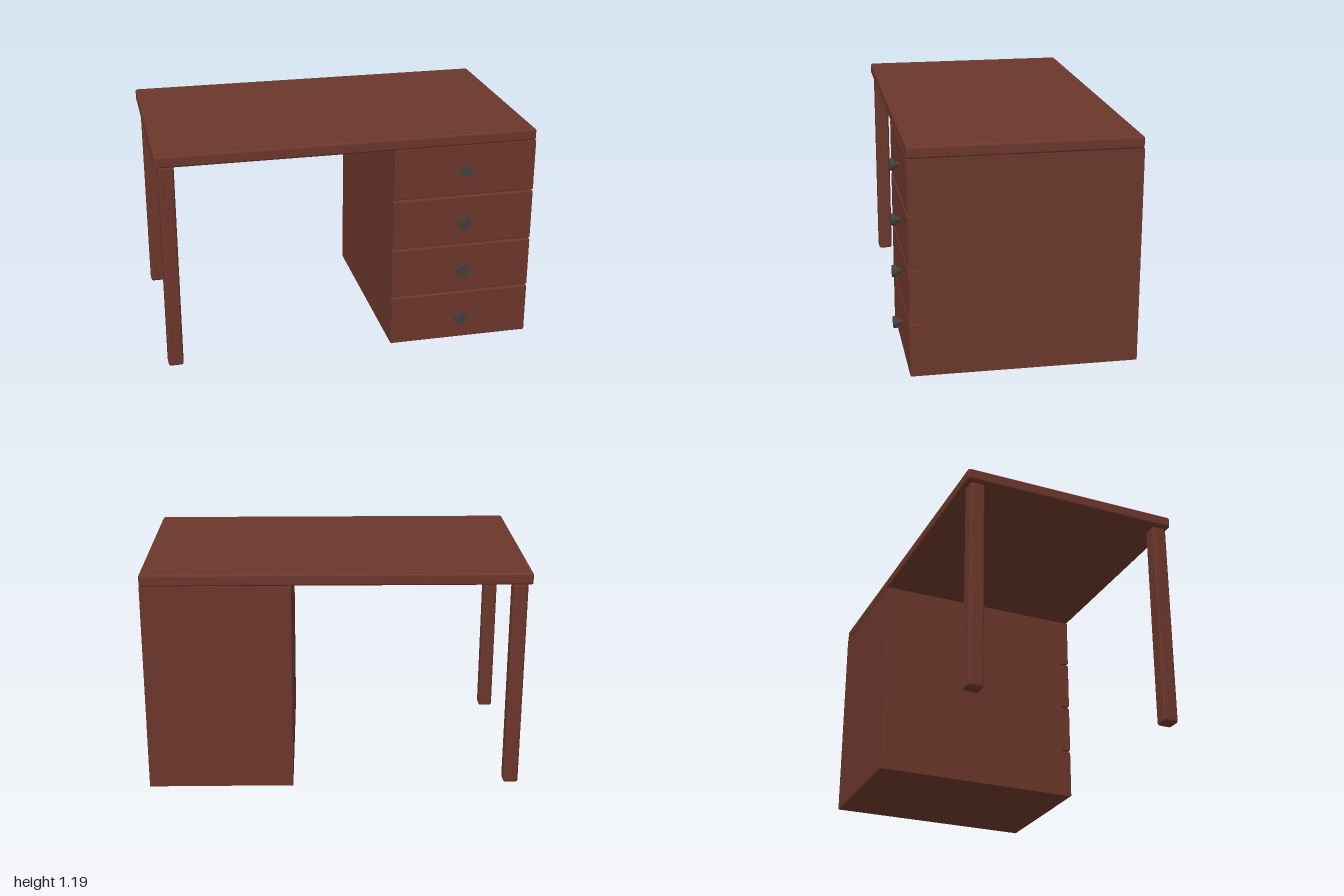
import * as THREE from 'three';
import { RoundedBoxGeometry } from 'three/addons/geometries/RoundedBoxGeometry.js';

const FRONT = 0.56, BACK = -0.605, TOP_Y = 1.125;

export function createModel() {
  const desk = new THREE.Group();
  desk.name = 'desk';
  const wood = new THREE.MeshStandardMaterial({ color: 0x6b372b });
  const metal = new THREE.MeshStandardMaterial({ color: 0x40403d });

  const add = (name, geometry, material, x, y, z, parent = desk) => {
    const mesh = new THREE.Mesh(geometry, material);
    mesh.name = name;
    mesh.position.set(x, y, z);
    parent.add(mesh);
    return mesh;
  };

  // Table top with softened edges
  const depth = FRONT - BACK;
  add('tableTop', new RoundedBoxGeometry(2, 0.062, depth, 3, 0.012), wood,
    0, TOP_Y + 0.031, (FRONT + BACK) / 2);

  // Two legs on the model's right side
  const legGeometry = new RoundedBoxGeometry(0.08, TOP_Y, 0.08, 2, 0.014);
  for (const [name, z] of [['frontLeg', 0.505], ['backLeg', -0.545]]) {
    add(name, legGeometry, wood, -0.94, TOP_Y / 2, z);
  }

  // Drawer cabinet: side profile with grooves between the drawer fronts
  const bottom = 0.004, half = 0.005, lip = 0.004, grooveEnd = 0.508;
  const profile = new THREE.Shape();
  profile.moveTo(BACK, bottom);
  profile.lineTo(FRONT - lip, bottom);
  profile.lineTo(FRONT, bottom + lip);
  for (const y of [0.281, 0.562, 0.843]) {
    profile.lineTo(FRONT, y - half - lip);
    profile.lineTo(FRONT - lip, y - half);
    profile.lineTo(grooveEnd + half, y - half);
    profile.lineTo(grooveEnd, y);
    profile.lineTo(grooveEnd + half, y + half);
    profile.lineTo(FRONT - lip, y + half);
    profile.lineTo(FRONT, y + half + lip);
  }
  profile.lineTo(FRONT, TOP_Y);
  profile.lineTo(BACK, TOP_Y);
  profile.closePath();
  const cabinet = new THREE.ExtrudeGeometry(profile, { depth: 0.768, bevelEnabled: false });
  cabinet.rotateY(-Math.PI / 2);
  add('drawerCabinet', cabinet, wood, 0.999, 0, 0);

  // One knob per drawer: thin stem and round head
  const stem = new THREE.CylinderGeometry(0.014, 0.014, 0.03, 16).rotateX(Math.PI / 2);
  const head = new THREE.CylinderGeometry(0.031, 0.031, 0.022, 16).rotateX(Math.PI / 2);
  [0.137, 0.423, 0.703, 0.995].forEach((y, i) => {
    const knob = new THREE.Group();
    knob.name = `drawerKnob${i + 1}`;
    knob.position.set(0.613, y, FRONT);
    add('knobStem', stem, metal, 0, 0, 0.01, knob);
    add('knobHead', head, metal, 0, 0, 0.034, knob);
    desk.add(knob);
  });

  return desk;
}
